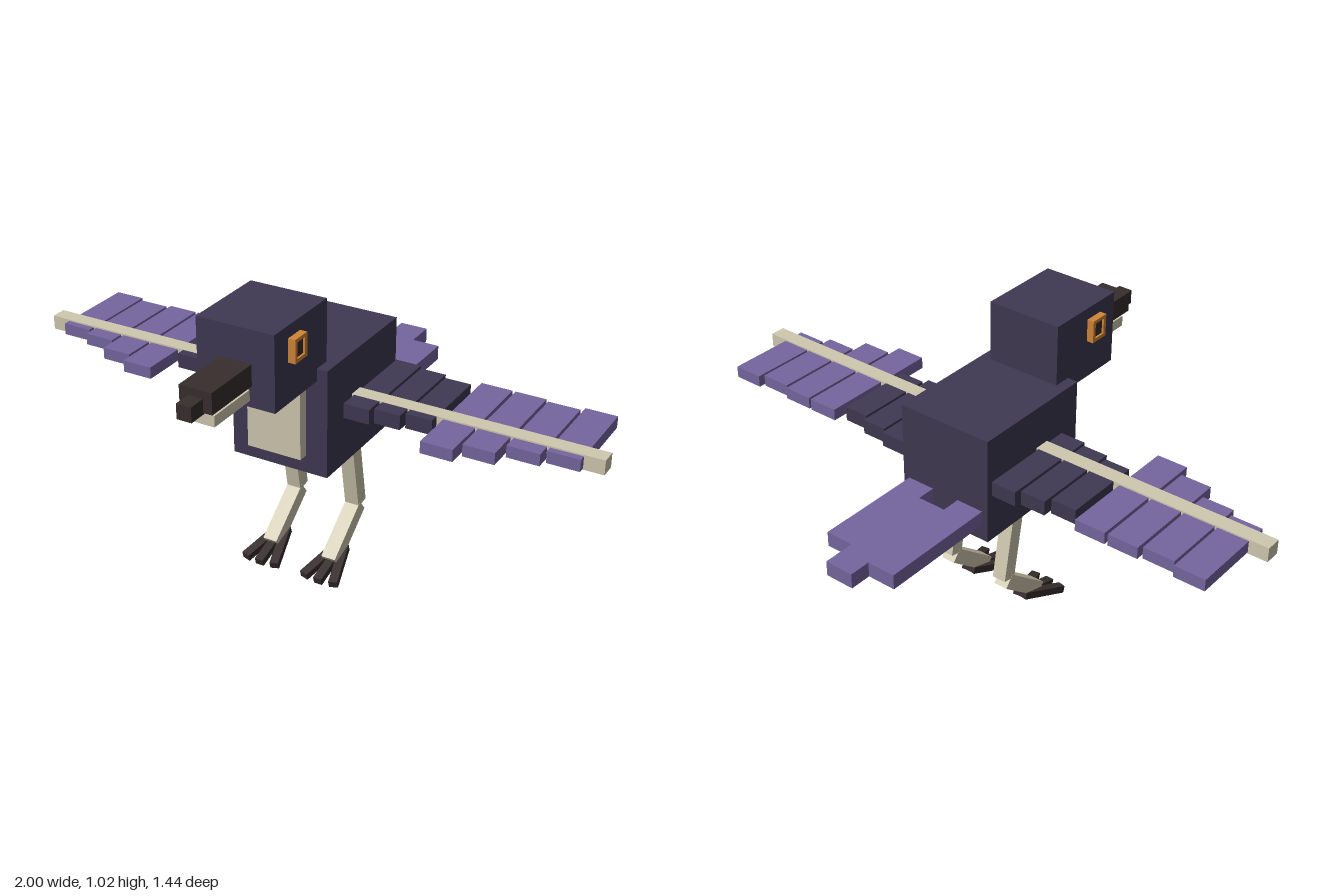
import * as THREE from 'three';

const paint = (name, color) => {
  const m = new THREE.MeshStandardMaterial({ color });
  m.name = name;
  return m;
};

export function createModel() {
  const plumage = paint('dark plumage', 0x3f3852);
  const violet = paint('violet feathers', 0x75669f);
  const bone = paint('pale bone', 0xd0c9b0);
  const horn = paint('dark horn', 0x382e2e);
  const amber = paint('amber', 0xd08536);

  const model = new THREE.Group();
  model.name = 'blockBird';

  // Box given by its limits on each axis
  function box(name, mat, [x0, x1], [y0, y1], [z0, z1], parent = model) {
    const mesh = new THREE.Mesh(new THREE.BoxGeometry(Math.abs(x1 - x0), y1 - y0, z1 - z0), mat);
    mesh.position.set((x0 + x1) / 2, (y0 + y1) / 2, (z0 + z1) / 2);
    mesh.name = name;
    parent.add(mesh);
    return mesh;
  }

  // Square bar running between two points of a side (y, z) plane
  function bar(name, mat, x, width, [y0, z0], [y1, z1], parent) {
    const dy = y1 - y0, dz = z1 - z0;
    const mesh = new THREE.Mesh(new THREE.BoxGeometry(width, Math.hypot(dy, dz), width), mat);
    mesh.position.set(x, (y0 + y1) / 2, (z0 + z1) / 2);
    mesh.rotation.x = Math.atan2(dz, dy);
    mesh.name = name;
    parent.add(mesh);
  }

  // Body and head
  box('body', plumage, [-0.17, 0.17], [0.443, 0.812], [-0.24, 0.21]);
  box('breast', bone, [-0.095, 0.095], [0.503, 0.752], [0.2, 0.245]);
  box('head', plumage, [-0.133, 0.133], [0.77, 1.02], [0.15, 0.45]);

  // Beak
  box('upperBeak', horn, [-0.055, 0.055], [0.84, 0.91], [0.44, 0.657]);
  box('beakTip', horn, [-0.025, 0.025], [0.835, 0.884], [0.63, 0.716]);
  box('lowerBeak', bone, [-0.047, 0.047], [0.79, 0.826], [0.44, 0.636]);

  // Tail: three feathers of unequal length, the middle one set back
  const tailY = [0.499, 0.55];
  box('tailFeather', violet, [-0.148, -0.05], tailY, [-0.647, -0.23]);
  box('tailFeather', violet, [-0.05, 0.05], tailY, [-0.72, -0.305]);
  box('tailFeather', violet, [0.05, 0.148], tailY, [-0.613, -0.23]);

  // Wing feathers: inner x, outer x, back z, front z
  const innerFeathers = [
    [0.178, 0.267, -0.23, 0.123], [0.276, 0.364, -0.212, 0.107], [0.373, 0.462, -0.19, 0.087],
  ];
  const outerFeathers = [
    [0.484, 0.59, -0.223, 0.212], [0.6, 0.704, -0.222, 0.167],
    [0.714, 0.82, -0.21, 0.108], [0.829, 0.934, -0.227, 0.08],
  ];

  for (const s of [1, -1]) {
    // Wing
    const wing = new THREE.Group();
    wing.name = s > 0 ? 'leftWing' : 'rightWing';
    model.add(wing);
    box('wingBone', bone, [s * 0.16, s], [0.619, 0.668], [0.003, 0.056], wing);
    for (const [a, b, back, front] of innerFeathers)
      box('innerFeather', plumage, [s * a, s * b], [0.617, 0.667], [back, front], wing);
    for (const [a, b, back, front] of outerFeathers)
      box('outerFeather', violet, [s * a, s * b], [0.623, 0.663], [back, front], wing);

    // Eye: pupil inside a square rim
    const eye = new THREE.Group();
    eye.name = s > 0 ? 'leftEye' : 'rightEye';
    model.add(eye);
    const rim = [s * 0.13, s * 0.157];
    box('eyeRimTop', amber, rim, [0.968, 0.98], [0.307, 0.375], eye);
    box('eyeRimBottom', amber, rim, [0.903, 0.915], [0.307, 0.375], eye);
    box('eyeRimBack', amber, rim, [0.915, 0.968], [0.307, 0.319], eye);
    box('eyeRimFront', amber, rim, [0.915, 0.968], [0.363, 0.375], eye);
    box('pupil', horn, [s * 0.13, s * 0.15], [0.915, 0.968], [0.319, 0.363], eye);

    // Leg
    const leg = new THREE.Group();
    leg.name = s > 0 ? 'leftLeg' : 'rightLeg';
    leg.position.x = s * 0.112;
    model.add(leg);
    bar('upperLeg', bone, 0, 0.05, [0.48, -0.033], [0.187, -0.087], leg);
    bar('lowerLeg', bone, 0, 0.051, [0.178, -0.088], [0.044, 0.083], leg);

    // Foot: three splayed toes sloping down to the front
    const foot = new THREE.Group();
    foot.name = 'foot';
    foot.position.set(0, 0.06, 0.006);
    foot.rotation.x = 0.28;
    leg.add(foot);
    for (const k of [-1, 0, 1]) {
      const toe = new THREE.Group();
      toe.position.x = k * 0.012;
      toe.rotation.y = k * 0.26;
      foot.add(toe);
      box('toe', horn, [-0.015, 0.015], [-0.0125, 0.0125], [0, 0.168], toe);
    }
  }
  return model;
}
